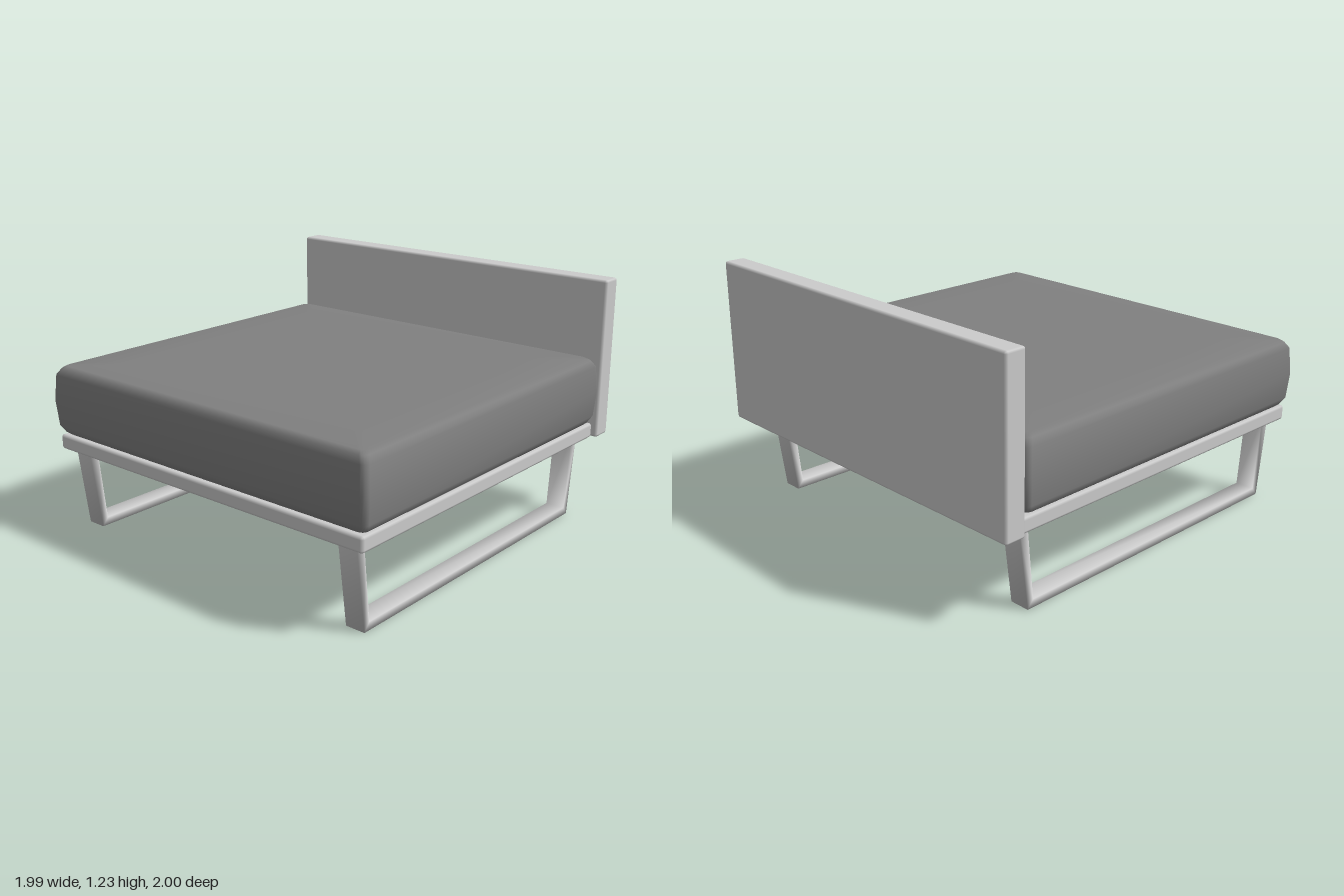
import * as THREE from 'three';
import { RoundedBoxGeometry } from 'three/addons/geometries/RoundedBoxGeometry.js';
import { mergeVertices } from 'three/addons/utils/BufferGeometryUtils.js';

const frameMaterial = new THREE.MeshStandardMaterial({ color: 0xcccccc });
const cushionMaterial = new THREE.MeshStandardMaterial({ color: 0x808080 });

function addMesh(parent, name, geometry, material) {
  const mesh = new THREE.Mesh(geometry, material);
  mesh.name = name;
  parent.add(mesh);
  return mesh;
}

// Softly shaded box with narrow bevels, given by its minimum and maximum corners
function slab(parent, name, min, max, radius) {
  const size = max.map((v, i) => v - min[i]);
  const mesh = addMesh(parent, name, new RoundedBoxGeometry(...size, 1, radius), frameMaterial);
  mesh.position.set(...max.map((v, i) => (v + min[i]) / 2));
}

// Puffy cushion: stacked rounded rectangles, each [inset, height]
function cushionGeometry(halfX, halfZ, levels) {
  const cornerSteps = 4, corner = 0.03;
  const perRing = 4 * (cornerSteps + 1);
  const positions = [], index = [];
  for (const [inset, y] of levels) {
    for (let q = 0; q < 4; q++) {
      const sx = q === 0 || q === 3 ? 1 : -1;
      const sz = q < 2 ? 1 : -1;
      for (let s = 0; s <= cornerSteps; s++) {
        const a = (q + s / cornerSteps) * Math.PI / 2;
        positions.push(
          sx * (halfX - inset - corner) + corner * Math.cos(a), y,
          sz * (halfZ - inset - corner) + corner * Math.sin(a));
      }
    }
  }
  for (let r = 0; r < levels.length - 1; r++) {
    for (let i = 0; i < perRing; i++) {
      const a = r * perRing + i, b = r * perRing + (i + 1) % perRing;
      index.push(a, a + perRing, b, b, a + perRing, b + perRing);
    }
  }
  // Close the bottom and top with fans
  const bottom = positions.length / 3, top = bottom + 1;
  const last = (levels.length - 1) * perRing;
  positions.push(0, levels[0][1], 0, 0, levels[levels.length - 1][1], 0);
  for (let i = 0; i < perRing; i++) {
    const j = (i + 1) % perRing;
    index.push(bottom, i, j, top, last + j, last + i);
  }
  const geometry = new THREE.BufferGeometry();
  geometry.setAttribute('position', new THREE.Float32BufferAttribute(positions, 3));
  geometry.setIndex(index);
  geometry.computeVertexNormals();
  return geometry;
}

// Sled leg: one flat bar bent into a U, drawn in z and y, smooth across its edges
function sledGeometry() {
  const outline = [
    [0.942, 0.42], [0.888, 0], [-0.787, 0], [-0.842, 0.42],
    [-0.792, 0.42], [-0.755, 0.04], [0.855, 0.04], [0.894, 0.42],
  ].map(([z, y]) => new THREE.Vector2(z, y));
  const width = 0.1;
  const bar = new THREE.ExtrudeGeometry(new THREE.Shape(outline), {
    depth: width, bevelEnabled: false,
  });
  bar.translate(0, 0, -width / 2);
  bar.rotateY(-Math.PI / 2);
  bar.deleteAttribute('normal');
  bar.deleteAttribute('uv');
  const geometry = mergeVertices(bar);
  geometry.computeVertexNormals();
  return geometry;
}

export function createModel() {
  const group = new THREE.Group();
  group.name = 'lowSeat';

  slab(group, 'seatFrame', [-0.97, 0.41, -0.885], [0.97, 0.487, 0.985], 0.015);
  slab(group, 'backrest', [-0.995, 0.41, -1], [0.995, 1.23, -0.89], 0.013);

  const cushion = addMesh(group, 'seatCushion', cushionGeometry(0.995, 0.943, [
    [0.25, 0.482], [0.05, 0.484], [0.03, 0.5], [0.01, 0.535],
    [0, 0.665], [0.01, 0.795], [0.03, 0.826], [0.05, 0.84], [0.25, 0.846],
  ]), cushionMaterial);
  cushion.position.z = 0.057;

  // Matching sled legs at left and right
  const sled = sledGeometry();
  for (const side of [1, -1]) {
    const name = side > 0 ? 'leftSledLeg' : 'rightSledLeg';
    addMesh(group, name, sled, frameMaterial).position.x = side * 0.855;
  }
  return group;
}
